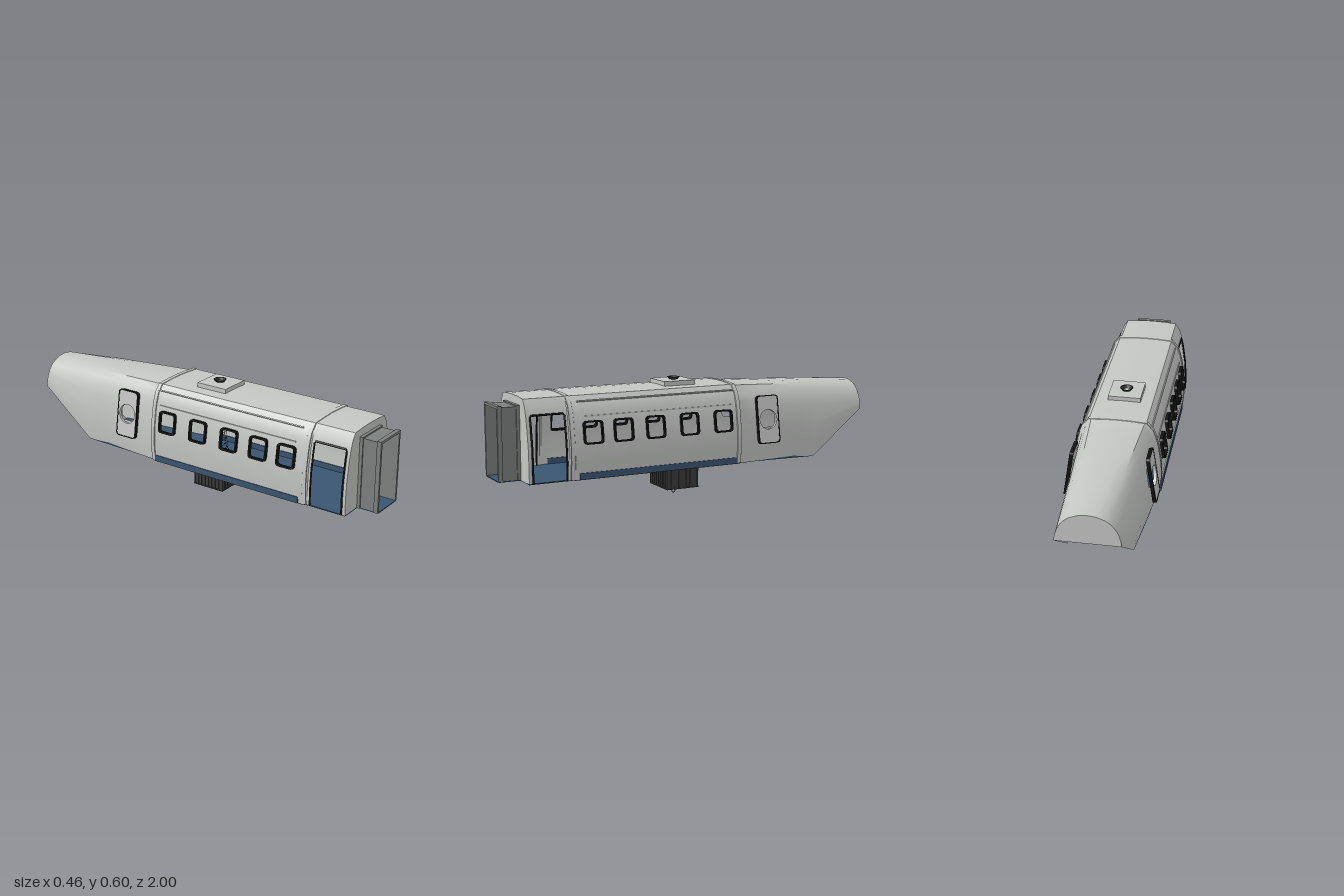
import * as THREE from 'three';
import { toCreasedNormals } from 'three/addons/utils/BufferGeometryUtils.js';

const mat = (name, color, side = THREE.FrontSide) => {
  const m = new THREE.MeshStandardMaterial({ color, side });
  m.name = name;
  return m;
};

// Half cross-sections [x, y] from the sill to the roof centre
const FRONT = [[.2, .165], [.2, .25], [.195, .335], [.18, .435], [.17, .48], [.157, .52], [.135, .555], [.07, .56], [0, .562]];
const MIDDLE = [[.207, .165], [.215, .25], [.213, .335], [.198, .435], [.187, .48], [.172, .52], [.14, .556], [.07, .561], [0, .563]];
const TAIL = [[.2, .165], [.205, .25], [.2, .335], [.187, .435], [.175, .48], [.155, .52], [.13, .55], [.07, .557], [0, .56]];
const TAIL_LOW = [[.157, .15], [.17, .235], [.172, .33], [.161, .425], [.146, .47], [.126, .505], [.1, .53], [.055, .541], [0, .543]];
const TAIL_END = [[.15, .38], [.15, .395], [.147, .41], [.138, .44], [.125, .465], [.105, .49], [.08, .508], [.042, .523], [0, .528]];

const WINDOWS = [.57, .413, .243, .058, -.13];
const DOOR_Z = -.395;

const mix = (p, q, t) => p.map(([x, y], i) => [x + (q[i][0] - x) * t, y + (q[i][1] - y) * t]);
const both = p => [...p, ...p.slice(0, -1).reverse().map(([x, y]) => [-x, y])];

// Skin over stations [z, profile]; cells for which skip(z, row) holds stay open
function loft(stations, skip = () => false) {
  const pos = [], idx = [], n = both(stations[0][1]).length;
  stations.forEach(([z, p]) => both(p).forEach(([x, y]) => pos.push(x, y, z)));
  for (let i = 0; i < stations.length - 1; i++) {
    const zm = (stations[i][0] + stations[i + 1][0]) / 2;
    for (let j = 0; j < n - 1; j++) {
      if (skip(zm, Math.min(j, n - 2 - j))) continue;
      const a = i * n + j, b = a + 1, c = a + n, d = c + 1;
      idx.push(a, c, b, b, c, d);
    }
  }
  const g = new THREE.BufferGeometry();
  g.setAttribute('position', new THREE.Float32BufferAttribute(pos, 3));
  g.setIndex(idx);
  return toCreasedNormals(g, .6);
}

function roundRect(w, h, r, Type = THREE.Shape) {
  const s = new Type(), x = w / 2, y = h / 2;
  s.moveTo(-x + r, -y);
  s.lineTo(x - r, -y); s.quadraticCurveTo(x, -y, x, -y + r);
  s.lineTo(x, y - r); s.quadraticCurveTo(x, y, x - r, y);
  s.lineTo(-x + r, y); s.quadraticCurveTo(-x, y, -x, y - r);
  s.lineTo(-x, -y + r); s.quadraticCurveTo(-x, -y, -x + r, -y);
  return s;
}

function plate(shape, hole, depth) {
  shape.holes.push(hole);
  return new THREE.ExtrudeGeometry(shape, { depth, bevelEnabled: false, curveSegments: 8 });
}

export function createModel() {
  const root = new THREE.Group();
  const shell = mat('light grey shell', 0xc4c6c4, THREE.DoubleSide);
  const grey = mat('gangway grey', 0x7c807e);
  const dark = mat('dark metal', 0x3c3c3c);
  const black = mat('black trim', 0x111111);
  const blue = mat('floor blue', 0x3a5570, THREE.DoubleSide);

  const add = (name, geo, m, x = 0, y = 0, z = 0) => {
    const o = new THREE.Mesh(geo, m);
    o.name = name;
    o.position.set(x, y, z);
    root.add(o);
    return o;
  };
  const box = (name, m, w, h, d, x, y, z) => add(name, new THREE.BoxGeometry(w, h, d), m, x, y, z);
  // Places a part on side s, leaning inwards by tilt
  const onSide = (o, s, tilt) => o.rotation.set(0, s * Math.PI / 2, s * tilt, 'ZYX');

  // Hull with open windows and doorways
  const stations = [[.89, FRONT], [.87, FRONT], [.7, FRONT], [.685, FRONT], [.67, MIDDLE]];
  WINDOWS.forEach(z => stations.push([z + .045, MIDDLE], [z - .045, MIDDLE]));
  stations.push([-.22, MIDDLE], [-.235, TAIL]);
  [-.345, -.445, -.6].forEach(z => stations.push([z, mix(TAIL, TAIL_LOW, (-.235 - z) / .465)]));
  stations.push([-.7, TAIL_LOW], [-1, TAIL_END]);
  add('hull', loft(stations, (z, row) =>
    (z > .7 && z < .87 && row < 4) ||
    (row === 2 && (WINDOWS.some(w => Math.abs(w - z) < .01) || Math.abs(z - DOOR_Z) < .01))), shell);

  // Raised ribs at the section joints
  const rib = MIDDLE.map(([x, y]) => [x && x + .003, y + .002]);
  for (const z of [.675, -.222]) {
    add('jointRib', loft([[z + .012, MIDDLE], [z + .01, rib], [z - .01, rib], [z - .012, MIDDLE]]), shell);
  }

  // Front wall with doorway, and rear cap
  const wall = new THREE.Shape(both(FRONT).map(p => new THREE.Vector2(...p)));
  wall.holes.push(new THREE.Path([[-.083, .166], [.083, .166], [.083, .51], [-.083, .51]].map(p => new THREE.Vector2(...p))));
  add('frontWall', new THREE.ShapeGeometry(wall), shell, 0, 0, .89);
  const cap = new THREE.Shape(both(TAIL_END).map(p => new THREE.Vector2(...p)));
  add('rearCap', new THREE.ShapeGeometry(cap).rotateY(Math.PI), shell, 0, 0, -1);

  // Floor, running out into the gangway and narrowing at the tail
  const half = [[.085, 1], [.085, .89], [.2, .89], [.2, .68], [.207, .67], [.207, -.22], [.2, -.235], [.157, -.7]];
  const outline = [...half, ...half.slice().reverse().map(([x, z]) => [-x, z])];
  const floor = new THREE.ExtrudeGeometry(new THREE.Shape(outline.map(([x, z]) => new THREE.Vector2(x, -z))),
    { depth: .005, bevelEnabled: false }).rotateX(-Math.PI / 2);
  add('floor', floor, blue, 0, .162, 0);

  // Gangway
  for (const s of [1, -1]) box('gangwayWall', grey, .006, .345, .11, s * .083, .34, .945);
  box('gangwayRoof', grey, .172, .006, .11, 0, .512, .945);
  for (const [z, d] of [[.898, .016], [.989, .022]]) {
    for (const s of [1, -1]) box('gangwayPost', grey, .01, .355, d, s * .087, .342, z);
    box('gangwayLintel', grey, .184, .011, d, 0, .516, z);
  }

  for (const s of [1, -1]) {
    // Window frames
    for (const z of WINDOWS) {
      const g = plate(roundRect(.1, .112, .02), roundRect(.084, .094, .015, THREE.Path), .018);
      onSide(add('windowFrame', g, black, s * .203, .385, z), s, .149);
    }
    // Tail door with round porthole
    const hole = new THREE.Path().absarc(0, 0, .05, 0, Math.PI * 2, true);
    const door = roundRect(.116, .236, .018);
    const dg = plate(door, hole, .016);
    // porthole sits just above the door centre line
    onSide(add('tailDoor', dg, shell, s * .19, .372, DOOR_Z), s, .15);
    const fg = plate(roundRect(.124, .244, .02), roundRect(.114, .234, .017, THREE.Path), .018);
    onSide(add('tailDoorFrame', fg, black, s * .19, .372, DOOR_Z), s, .15);

    // Black trim round the side doorway
    const jamb = FRONT.slice(0, 5).map(([x, y]) => [s * x, y]);
    const path = new THREE.CurvePath();
    const pts = [...jamb.map(([x, y]) => new THREE.Vector3(x, y, .7)),
      ...jamb.reverse().map(([x, y]) => new THREE.Vector3(x, y, .87))];
    for (let i = 1; i < pts.length; i++) path.add(new THREE.LineCurve3(pts[i - 1], pts[i]));
    add('sideDoorTrim', new THREE.TubeGeometry(path, 60, .005, 6), black);

    // Skirting, rails and the sloping edge flap at the tail
    box('skirting', blue, .008, .032, .85, s * .21, .18, .215);
    box('upperRail', shell, .008, .006, .85, s * .166, .531, .21).rotation.z = s * .8;
    box('windowRail', shell, .006, .005, .8, s * .192, .462, .21);
    const flap = new THREE.BufferGeometry();
    flap.setAttribute('position', new THREE.Float32BufferAttribute(
      [s * .198, .165, -.3, s * .157, .165, -.7, s * .157, .15, -.7], 3));
    flap.computeVertexNormals();
    add('floorFlap', flap, blue);
  }

  // Roof hatch
  box('hatchBase', shell, .163, .026, .17, 0, .57, .045);
  const ring = [[.021, .582], [.032, .595], [.025, .595], [.016, .583]].map(p => new THREE.Vector2(...p));
  const ringMat = mat('hatch ring', 0x2a2a2a, THREE.DoubleSide);
  add('hatchRing', new THREE.LatheGeometry(ring, 24), ringMat, 0, 0, .04);

  // Ribbed box under the floor, with its tip
  box('underBox', dark, .19, .125, .17, 0, .102, .037);
  box('underBoxRim', dark, .196, .006, .176, 0, .042, .037);
  for (let i = 0; i < 9; i++) {
    const t = (i - 4) / 4;
    for (const s of [1, -1]) {
      box('boxRib', dark, .004, .124, .005, t * .094, .102, .037 + s * .086);
      box('boxRib', dark, .005, .124, .004, s * .096, .102, .037 + t * .084);
    }
  }
  add('tipSocket', new THREE.CylinderGeometry(.007, .006, .018, 12), dark, 0, .031, .04);
  add('tipBall', new THREE.TorusGeometry(.009, .002, 6, 16).rotateY(Math.PI / 2), dark, 0, .011, .04);

  // Central pole with wires and hanging loops on four sides
  add('pole', new THREE.CylinderGeometry(.005, .005, .35, 10), dark, 0, .338, .04);
  const rig = [[.082, .185], [.053, .225], [.043, .28], [.036, .345], [.028, .42], [.018, .493]];
  for (let q = 0; q < 4; q++) {
    const v = ([r, y]) => new THREE.Vector3(r, y, 0);
    const wire = new THREE.CatmullRomCurve3(rig.map(v));
    const put = (name, curve, seg) => {
      add(name, new THREE.TubeGeometry(curve, seg, .0012, 4), black, 0, 0, .04).rotation.y = q * Math.PI / 2;
    };
    put('poleWire', wire, 24);
    for (let i = 0; i < 10; i++) {
      const p = wire.getPoint(.06 + i * .095);
      put('wireLoop', new THREE.QuadraticBezierCurve3(v([.003, p.y]), v([p.x / 2, p.y - .25 * p.x - .006]), p), 8);
    }
  }
  return root;
}
